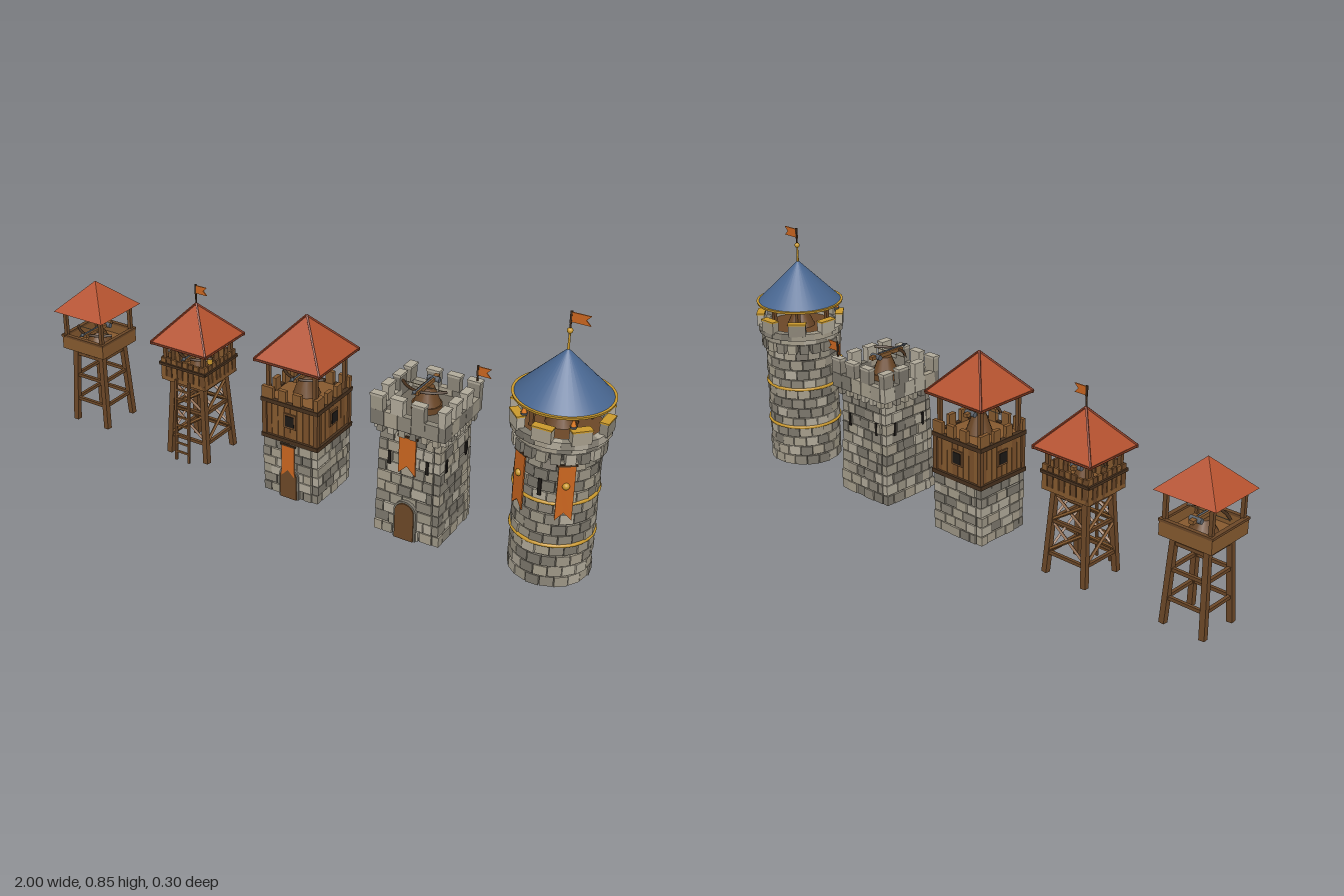
import * as THREE from 'three';

const STONE = [0xb0a999, 0x9c9585, 0x8a8477, 0xa59d8b, 0x7b766b];
const MORTAR = 0x4c4841, WOOD = 0x6b4727, PLANK = 0x85592e, DARK = 0x46301d, ROOF = 0xb5522f;
const GOLD = 0xc9982c, CLOTH = 0xc9651f, IRON = 0x5c636b, BLUE = 0x486690, BLACK = 0x1c1815;
const CUBE = new THREE.BoxGeometry(1, 1, 1);
const mats = {};
const mat = (color) => (mats[color] ??= new THREE.MeshStandardMaterial({ color }));
let seed = 7;
const rnd = () => ((seed = (seed * 16807) % 2147483647) / 2147483647);
const stone = () => STONE[Math.floor(rnd() * STONE.length)];

function add(parent, name, geometry, color, x = 0, y = 0, z = 0) {
  const m = new THREE.Mesh(geometry, mat(color));
  m.name = name;
  m.position.set(x, y, z);
  parent.add(m);
  return m;
}
function group(parent, name, x = 0, y = 0, z = 0, turn = 0) {
  const g = new THREE.Group();
  g.name = name;
  g.position.set(x, y, z);
  g.rotation.y = turn;
  parent.add(g);
  return g;
}
function box(parent, name, color, w, h, d, x, y, z) {
  const m = add(parent, name, CUBE, color, x, y, z);
  m.scale.set(w, h, d);
  return m;
}
const cyl = (parent, name, color, r0, r1, h, x, y, z, n = 12) =>
  add(parent, name, new THREE.CylinderGeometry(r1, r0, h, n), color, x, y + h / 2, z);
function beam(parent, name, color, a, b, t) {
  const p = new THREE.Vector3(...a), q = new THREE.Vector3(...b);
  const m = box(parent, name, color, t, t, p.distanceTo(q), 0, 0, 0);
  m.position.copy(p).lerp(q, 0.5);
  m.quaternion.setFromUnitVectors(new THREE.Vector3(0, 0, 1), q.sub(p).normalize());
  return m;
}
// Runs fn once per side, in a group whose +z faces outward
function sides(parent, name, fn) {
  for (let i = 0; i < 4; i++) fn(group(parent, name, 0, 0, 0, (i * Math.PI) / 2), i);
}
function corners(fn) {
  for (const sx of [-1, 1]) for (const sz of [-1, 1]) fn(sx, sz);
}

// Swallowtail cloth hanging down from the origin
function banner(parent, name, w, h, x, y, z) {
  const s = new THREE.Shape();
  s.moveTo(-w / 2, 0).lineTo(-w / 2, -h).lineTo(0, -h + w * 0.5).lineTo(w / 2, -h).lineTo(w / 2, 0);
  const m = add(parent, name, new THREE.ExtrudeGeometry(s, { depth: 0.004, bevelEnabled: false }), CLOTH, x, y, z);
  beam(parent, 'bannerRod', DARK, [x - w * 0.6, y, z + 0.002], [x + w * 0.6, y, z + 0.002], 0.006);
  return m;
}
function flag(parent, x, y0, y1, z, w, h) {
  cyl(parent, 'flagPole', DARK, 0.003, 0.003, y1 - y0, x, y0, z, 8);
  banner(group(parent, 'flag', x, y1 - h / 2 - 0.002, z), 'flagCloth', h, w, 0, 0, -0.002).parent.rotation.z = Math.PI / 2;
}
function door(parent, w, h, z) {
  const arch = (k) => {
    const s = new THREE.Shape(), r = w / 2 + k;
    s.moveTo(-r, 0).lineTo(r, 0).lineTo(r, h - w / 2).absarc(0, h - w / 2, r, 0, Math.PI).lineTo(-r, 0);
    return new THREE.ExtrudeGeometry(s, { depth: 0.012, bevelEnabled: false, curveSegments: 8 });
  };
  add(parent, 'doorFrame', arch(0.006), STONE[4], 0, 0, z - 0.012);
  add(parent, 'door', arch(0), WOOD, 0, 0, z - 0.008);
}

function pyramidRoof(parent, half, y0, y1, ridges) {
  const g = new THREE.ConeGeometry(half * Math.SQRT2, y1 - y0, 4).toNonIndexed().rotateY(Math.PI / 4);
  g.computeVertexNormals();
  add(parent, 'roof', g, ROOF, 0, (y0 + y1) / 2, 0);
  if (!ridges) return;
  corners((sx, sz) => beam(parent, 'roofRidge', 0x8a3b22, [sx * half * 0.98, y0 + 0.003, sz * half * 0.98], [0, y1, 0], 0.006));
  sides(parent, 'eave', (s) => box(s, 'eaveBoard', 0x7a3a22, half * 2, 0.008, 0.008, 0, y0, half - 0.006));
}
function posts(parent, half, y0, y1) {
  corners((sx, sz) => box(parent, 'roofPost', WOOD, 0.013, y1 - y0, 0.013, sx * half, (y0 + y1) / 2, sz * half));
}

// Mounted crossbow with its bow toward +z
function ballista(parent, floor, y, k = 1) {
  const g = group(parent, 'ballista', 0, y, 0);
  cyl(g, 'mount', WOOD, 0.045 * k, 0.022 * k, y - floor - 0.008, 0, floor - y, 0);
  box(g, 'stock', PLANK, 0.016, 0.012, 0.14 * k, 0, 0, 0.005);
  const bow = new THREE.QuadraticBezierCurve3(new THREE.Vector3(-0.075 * k, 0, 0.02),
    new THREE.Vector3(0, 0, 0.1 * k), new THREE.Vector3(0.075 * k, 0, 0.02));
  add(g, 'bow', new THREE.TubeGeometry(bow, 14, 0.005, 6), DARK);
  beam(g, 'bowString', 0x9a8a6a, [-0.075 * k, 0, 0.02], [0.075 * k, 0, 0.02], 0.002);
  add(g, 'bolt', new THREE.CylinderGeometry(0.003, 0.003, 0.12 * k, 6).rotateX(Math.PI / 2), IRON, 0, 0.009, 0.03);
  add(g, 'boltTip', new THREE.ConeGeometry(0.007, 0.02, 6).rotateX(Math.PI / 2), IRON, 0, 0.009, 0.03 + 0.065 * k);
  add(g, 'winch', new THREE.CylinderGeometry(0.009, 0.009, 0.04, 10).rotateZ(Math.PI / 2), IRON, 0, 0, -0.04 * k);
}

// Square coursed masonry around a dark core
function squareWall(parent, y0, y1, rows, halfAt) {
  const h = (y1 - y0) / rows, d = 0.02;
  for (let r = 0; r < rows; r++) {
    const y = y0 + (r + 0.5) * h, half = halfAt(y);
    box(parent, 'wallCore', MORTAR, half * 2 - 0.008, h, half * 2 - 0.008, 0, y, 0);
    sides(parent, 'stoneCourse', (s) => {
      const end = half - d;
      for (let u = -half, first = true; u < end - 0.001; first = false) {
        let w = first ? (r % 2 ? 0.05 : 0.03) : 0.032 + rnd() * 0.022;
        if (end - u - w < 0.02) w = end - u;
        box(s, 'stone', stone(), w - 0.003, h - 0.003, d, u + w / 2, y, half - d / 2 + rnd() * 0.005);
        u += w;
      }
    });
  }
}
// Ring of n tangent blocks
function ring(parent, name, n, r, y, w, h, d, offset = 0, jitter = 0, color = stone) {
  for (let i = 0; i < n; i++) {
    const g = group(parent, name, 0, 0, 0, ((i + offset) / n) * Math.PI * 2);
    box(g, name + 'Block', color(), w, h, d, 0, y, r - d / 2 + rnd() * jitter);
  }
}

// Four splayed timber legs with rails, and optional crossed braces
function trestle(parent, foot, top, h, rails, crosses) {
  const at = (y) => foot + ((top - foot) * y) / h;
  corners((sx, sz) => beam(parent, 'leg', WOOD, [sx * foot, 0, sz * foot], [sx * top, h, sz * top], 0.019));
  sides(parent, 'bracing', (s) => {
    for (const y of rails) beam(s, 'rail', WOOD, [-at(y), y, at(y)], [at(y), y, at(y)], 0.011);
    for (const [a, b] of crosses) for (const k of [-1, 1])
      beam(s, 'crossBrace', PLANK, [-k * at(a), a, at(a) + k * 0.003], [k * at(b), b, at(b) + k * 0.003], 0.008);
  });
}

function lookout(root) {
  const t = group(root, 'timberLookout', -0.892);
  trestle(t, 0.07, 0.056, 0.29, [0.085, 0.178, 0.262], []);
  box(t, 'deck', PLANK, 0.18, 0.012, 0.18, 0, 0.292, 0);
  sides(t, 'deckWall', (s) => {
    box(s, 'wallBoard', PLANK, 0.17, 0.046, 0.01, -0.005, 0.31, 0.085);
    box(s, 'topRail', WOOD, 0.185, 0.008, 0.014, 0, 0.335, 0.085);
  });
  posts(t, 0.078, 0.29, 0.435);
  ballista(t, 0.298, 0.347);
  pyramidRoof(t, 0.106, 0.428, 0.53, false);
}

function ladderTower(root) {
  const t = group(root, 'timberTower', -0.457);
  trestle(t, 0.077, 0.06, 0.29, [0.07, 0.18, 0.268], [[0.075, 0.175], [0.18, 0.265]]);
  box(t, 'deck', PLANK, 0.18, 0.014, 0.18, 0, 0.292, 0);
  sides(t, 'palisade', (s) => {
    for (let i = 0; i < 8; i++)
      box(s, 'plank', i % 2 ? WOOD : PLANK, 0.019, 0.076 + rnd() * 0.012, 0.008, -0.08 + i * 0.0225, 0.327, 0.086);
    box(s, 'railing', DARK, 0.185, 0.009, 0.012, 0, 0.345, 0.09);
  });
  posts(t, 0.077, 0.29, 0.43);
  ballista(t, 0.298, 0.368, 0.9);
  pyramidRoof(t, 0.114, 0.422, 0.55, true);
  flag(t, 0, 0.54, 0.617, 0, 0.045, 0.028);
  for (const sx of [-1, 1]) beam(t, 'ladderRail', WOOD, [sx * 0.026, 0, 0.112], [sx * 0.026, 0.3, 0.094], 0.008);
  for (let i = 1; i < 9; i++) beam(t, 'ladderRung', PLANK, [-0.026, i * 0.033, 0.112 - i * 0.002], [0.026, i * 0.033, 0.112 - i * 0.002], 0.006);
  // Lantern on a bracket
  beam(t, 'lanternBracket', DARK, [0.077, 0.415, 0.077], [0.11, 0.415, 0.077], 0.005);
  cyl(t, 'lantern', GOLD, 0.009, 0.009, 0.02, 0.105, 0.388, 0.077, 8);
  cyl(t, 'lanternCap', DARK, 0.012, 0.002, 0.008, 0.105, 0.408, 0.077, 8);
}

function halfTimbered(root) {
  const t = group(root, 'stoneAndTimberTower', -0.024);
  squareWall(t, 0, 0.2, 6, () => 0.102);
  box(t, 'timberRoom', PLANK, 0.19, 0.14, 0.19, 0, 0.27, 0);
  sides(t, 'timberWall', (s, i) => {
    for (let k = 0; k < 8; k++) box(s, 'plank', k % 3 ? PLANK : 0x7a5029, 0.022, 0.13, 0.008, -0.083 + k * 0.0237, 0.27, 0.095);
    for (const y of [0.207, 0.337]) box(s, 'bandBeam', DARK, 0.214, 0.014, 0.016, 0, y, 0.1);
    for (const x of [-0.097]) box(s, 'cornerPost', WOOD, 0.016, 0.13, 0.016, x, 0.27, 0.097);
    box(s, 'windowFrame', WOOD, 0.046, 0.052, 0.008, 0, 0.28, 0.1);
    box(s, 'window', BLACK, 0.032, 0.038, 0.008, 0, 0.28, 0.102);
    for (const x of [-0.084, -0.028, 0.028]) box(s, 'merlon', PLANK, x < -0.05 ? 0.042 : 0.03, 0.044, 0.014, x, 0.362, 0.098);
  });
  posts(t, 0.088, 0.34, 0.487);
  ballista(t, 0.34, 0.415);
  pyramidRoof(t, 0.124, 0.478, 0.615, true);
  door(t, 0.062, 0.11, 0.112);
  banner(t, 'banner', 0.048, 0.115, 0, 0.198, 0.113);
}

function squareKeep(root) {
  const t = group(root, 'squareStoneTower', 0.41);
  squareWall(t, 0, 0.365, 10, (y) => 0.112 - y * 0.025);
  sides(t, 'parapet', (s) => {
    for (let k = 0; k < 6; k++) box(s, 'corbel', stone(), 0.02, 0.026, 0.03, -0.095 + k * 0.038, 0.372, 0.107);
    for (let k = 0; k < 5; k++) box(s, 'parapetStone', stone(), 0.045, 0.05, 0.022, -0.102 + k * 0.0465, 0.408, 0.115 + rnd() * 0.003);
    for (const x of [-0.105, -0.036, 0.036]) {
      box(s, 'merlon', stone(), 0.042, 0.048, 0.024, x, 0.456, 0.115);
      box(s, 'merlonCap', STONE[0], 0.046, 0.008, 0.028, x, 0.482, 0.115);
    }
    box(s, 'arrowSlit', BLACK, 0.01, 0.045, 0.008, 0.065, 0.27, 0.107);
    box(s, 'arrowSlit', BLACK, 0.01, 0.045, 0.008, -0.065, 0.27, 0.107);
  });
  box(t, 'roofFloor', 0x6d675b, 0.22, 0.02, 0.22, 0, 0.4, 0);
  cyl(t, 'turntable', WOOD, 0.048, 0.048, 0.02, 0, 0.41, 0, 20);
  ballista(t, 0.428, 0.494);
  door(t, 0.066, 0.13, 0.122);
  banner(t, 'banner', 0.058, 0.13, 0, 0.362, 0.114);
  flag(t, 0.112, 0.42, 0.537, -0.112, 0.045, 0.03);
}

function roundKeep(root) {
  const t = group(root, 'roundStoneTower', 0.846);
  cyl(t, 'wallCore', MORTAR, 0.117, 0.117, 0.49, 0, 0, 0, 32);
  for (let r = 0; r < 12; r++) ring(t, 'stoneCourse', 18, 0.122, 0.018 + r * 0.0363, 0.041, 0.033, 0.02, (r % 2) / 2, 0.005);
  for (const y of [0.147, 0.292])
    add(t, 'goldBand', new THREE.TorusGeometry(0.126, 0.0055, 8, 40).rotateX(Math.PI / 2), GOLD, 0, y, 0);
  // Flared battlements
  ring(t, 'corbel', 20, 0.138, 0.445, 0.03, 0.034, 0.03, 0, 0.002);
  ring(t, 'corbelCourse', 20, 0.133, 0.474, 0.043, 0.025, 0.03, 0.5, 0.002);
  ring(t, 'parapet', 24, 0.146, 0.493, 0.0395, 0.024, 0.025, 0, 0.002);
  ring(t, 'merlon', 8, 0.15, 0.519, 0.06, 0.042, 0.025);
  ring(t, 'merlonCap', 8, 0.152, 0.541, 0.063, 0.005, 0.028, 0, 0, () => GOLD);
  cyl(t, 'floor', WOOD, 0.125, 0.125, 0.012, 0, 0.482, 0, 32);
  posts(t, 0.065, 0.49, 0.59);
  ballista(t, 0.494, 0.557, 1.1);
  for (const sx of [-1, 1]) {
    cyl(t, 'torchBowl', IRON, 0.005, 0.011, 0.02, sx * 0.075, 0.53, 0.103, 10);
    add(t, 'torchFlame', new THREE.ConeGeometry(0.009, 0.03, 8), 0xe07a1e, sx * 0.075, 0.564, 0.103);
    const side = group(t, 'bannerMount', 0, 0, 0, sx * 0.58);
    banner(side, 'banner', 0.05, 0.182, 0, 0.424, 0.13);
    add(side, 'bannerBoss', new THREE.SphereGeometry(0.011, 14, 10), GOLD, 0, 0.357, 0.134);
  }
  box(t, 'arrowSlit', BLACK, 0.011, 0.055, 0.01, 0, 0.34, 0.125);
  // Conical roof with finial
  cyl(t, 'roofRim', GOLD, 0.149, 0.151, 0.008, 0, 0.58, 0, 40);
  add(t, 'coneRoof', new THREE.ConeGeometry(0.143, 0.142, 40, 1, true), BLUE, 0, 0.659, 0);
  cyl(t, 'finialRod', GOLD, 0.004, 0.003, 0.065, 0, 0.72, 0, 8);
  add(t, 'finialBall', new THREE.SphereGeometry(0.009, 14, 10), GOLD, 0, 0.784, 0);
  flag(t, 0, 0.784, 0.843, 0, 0.06, 0.03);
}

export function createModel() {
  const root = new THREE.Group();
  root.name = 'towerSet';
  for (const build of [lookout, ladderTower, halfTimbered, squareKeep, roundKeep]) build(root);
  return root;
}
